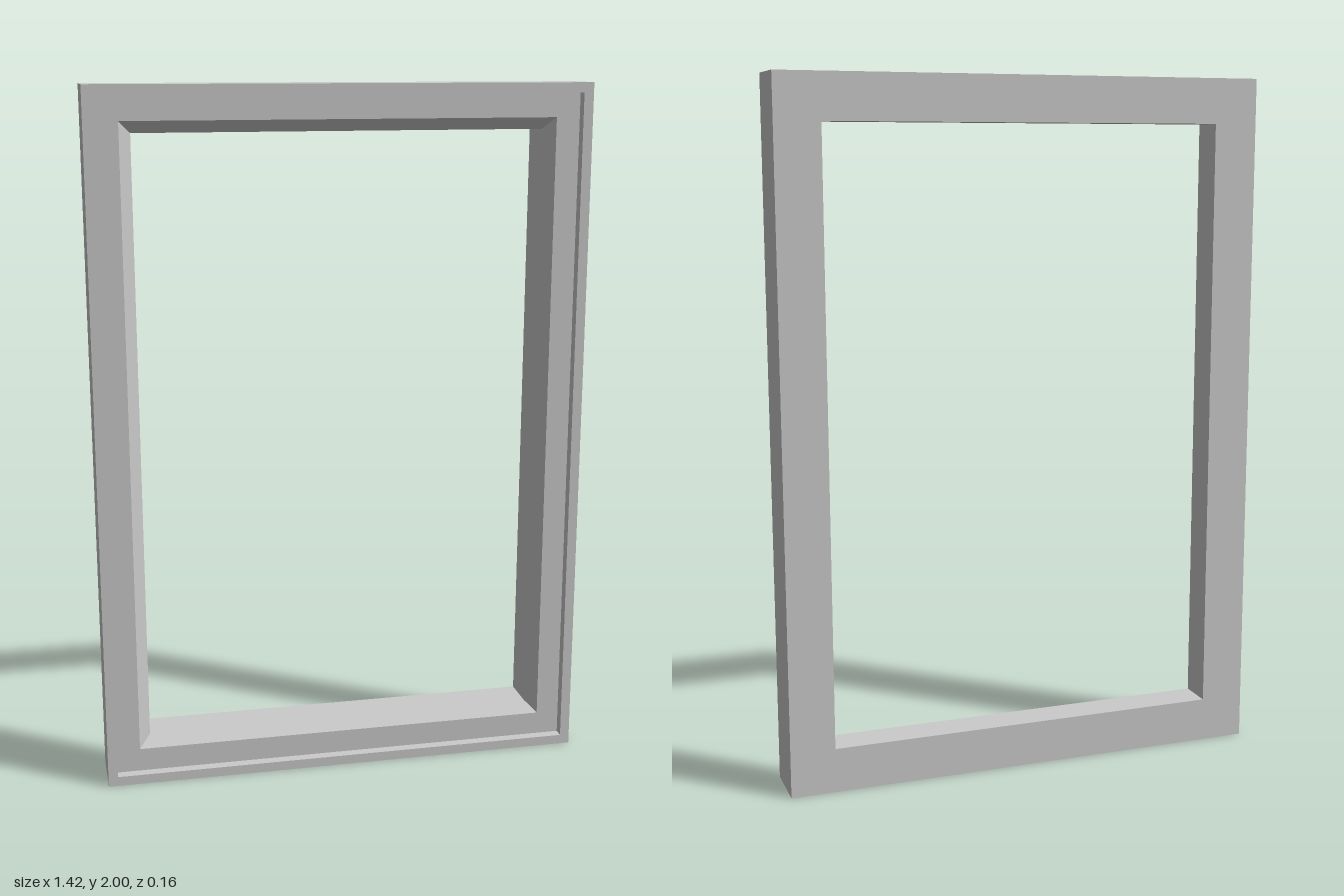
import * as THREE from 'three';

const HALF_W = 0.708, HALF_H = 1, HALF_D = 0.082;

// Moulding cross-section as [inset from the outer edge, z], swept around the rectangle
const PROFILE = [
  [0, -HALF_D],
  [0, HALF_D],               // outer side
  [0.028, HALF_D],           // raised front lip
  [0.028, HALF_D - 0.03],    // step down behind the lip
  [0.096, HALF_D - 0.03],    // recessed front face
  [0.129, HALF_D - 0.06],    // inner bevel
  [0.129, -HALF_D],          // inner side
];

// Mitred rectangular frame: one four-cornered ring per profile point, closed at the back
function mitredFrame(profile) {
  const corners = [[-1, -1], [1, -1], [1, 1], [-1, 1]];
  const positions = [];
  const index = [];
  const count = profile.length;
  for (const [inset, z] of profile) {
    for (const [sx, sy] of corners) {
      positions.push(sx * (HALF_W - inset), HALF_H + sy * (HALF_H - inset), z);
    }
  }
  for (let i = 0; i < count; i++) {
    const next = (i + 1) % count;
    for (let j = 0; j < 4; j++) {
      const k = (j + 1) % 4;
      const a = i * 4 + j, b = i * 4 + k, c = next * 4 + k, d = next * 4 + j;
      index.push(a, b, c, a, c, d);
    }
  }
  const indexed = new THREE.BufferGeometry();
  indexed.setAttribute('position', new THREE.Float32BufferAttribute(positions, 3));
  indexed.setIndex(index);
  const geometry = indexed.toNonIndexed();
  geometry.computeVertexNormals();
  return geometry;
}

export function createModel() {
  const group = new THREE.Group();
  group.name = 'windowFrame';
  const material = new THREE.MeshStandardMaterial({ color: 0xcccccc, flatShading: true });
  const frame = new THREE.Mesh(mitredFrame(PROFILE), material);
  frame.name = 'frame';
  group.add(frame);
  return group;
}
